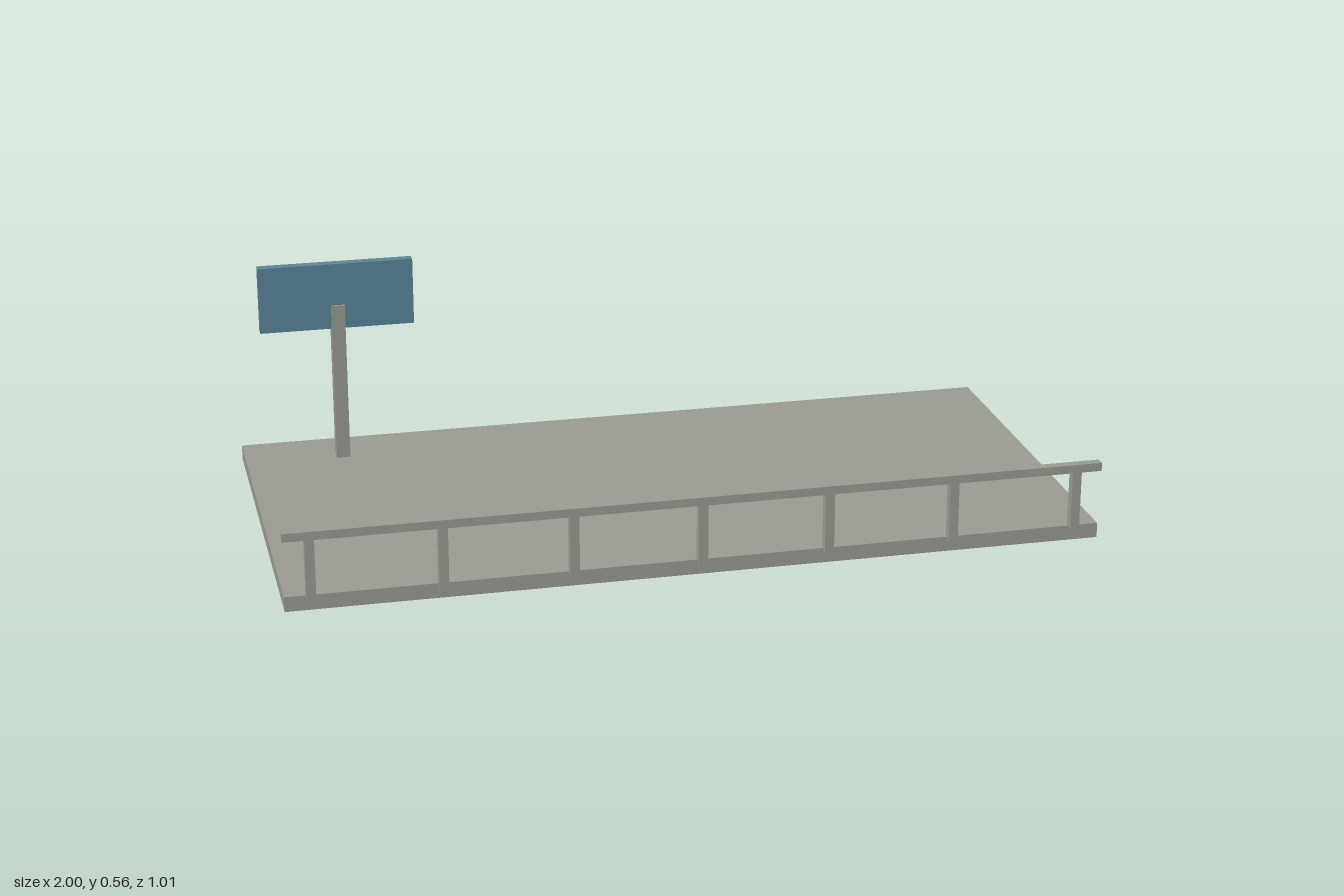
import * as THREE from 'three';

export function createModel() {
  const model = new THREE.Group();
  const concrete = new THREE.MeshStandardMaterial({ color: 0x9a9a93 });
  concrete.name = 'concrete grey';
  const signBlue = new THREE.MeshStandardMaterial({ color: 0x5b8599 });
  signBlue.name = 'sign blue';

  // Box given by its lower and upper corners
  function box(parent, name, material, [x0, y0, z0], [x1, y1, z1]) {
    const mesh = new THREE.Mesh(new THREE.BoxGeometry(x1 - x0, y1 - y0, z1 - z0), material);
    mesh.position.set((x0 + x1) / 2, (y0 + y1) / 2, (z0 + z1) / 2);
    mesh.name = name;
    parent.add(mesh);
  }

  // Platform slab
  box(model, 'platform', concrete, [-1, 0, -0.505], [1, 0.0375, 0.495]);

  // Railing along the front edge: posts overlap the slab face
  const railing = new THREE.Group();
  railing.name = 'railing';
  model.add(railing);
  box(railing, 'handrail', concrete, [-1, 0.179, 0.482], [1, 0.2, 0.505]);
  for (let i = -3; i <= 3; i++) {
    const x = i * 0.3125;
    box(railing, 'railingPost', concrete, [x - 0.0115, 0.028, 0.482], [x + 0.0115, 0.179, 0.505]);
  }

  // Sign near the back right corner: the post is thicker than the panel
  const sign = new THREE.Group();
  sign.name = 'sign';
  model.add(sign);
  box(sign, 'signPost', concrete, [-0.7675, 0.0375, -0.398], [-0.7325, 0.4525, -0.362]);
  box(sign, 'signPanel', signBlue, [-0.95, 0.39, -0.3925], [-0.555, 0.5625, -0.3675]);

  return model;
}
